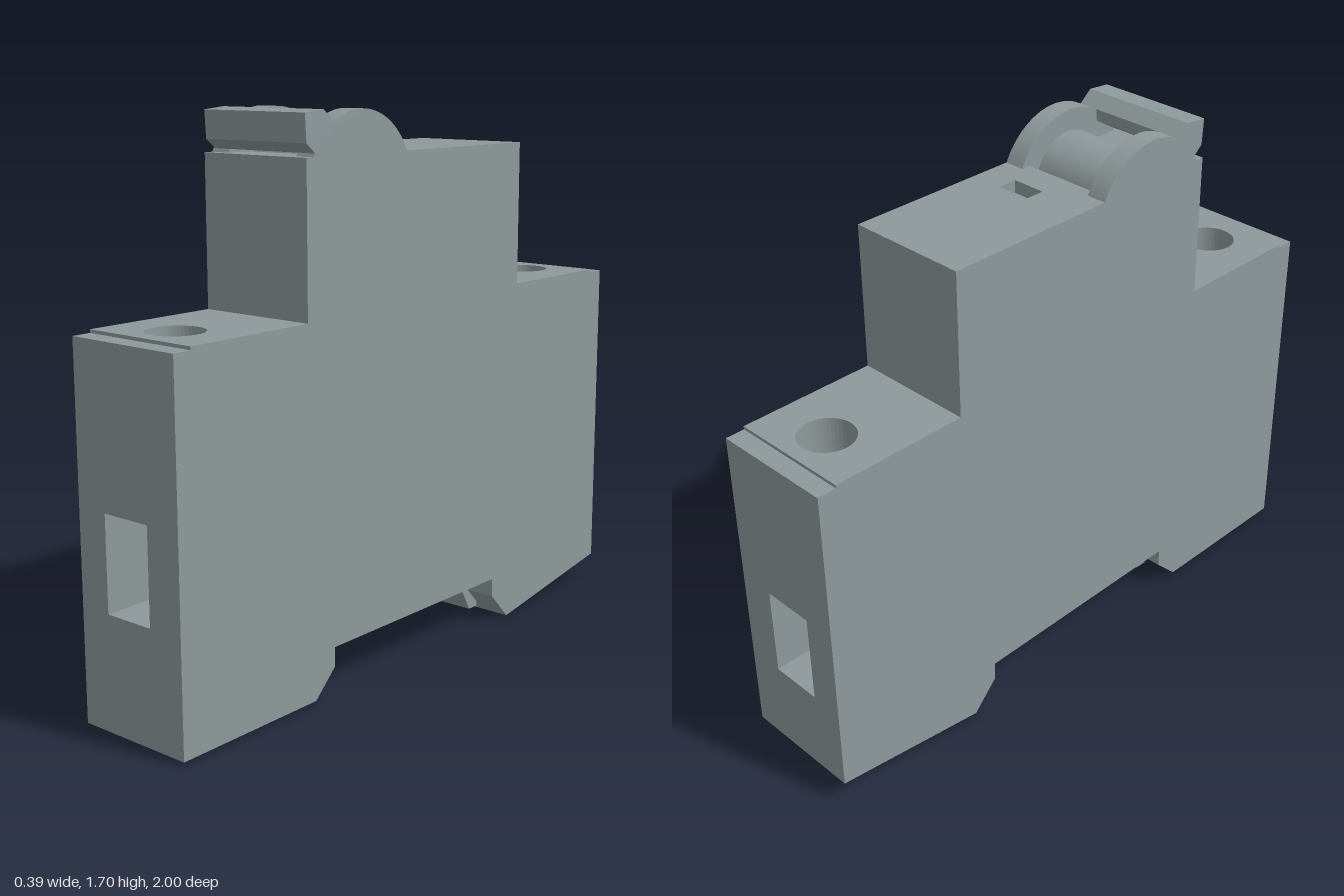
import * as THREE from 'three';

const HALF = 0.195; // half of the housing width

export function createModel() {
  const group = new THREE.Group();
  const grey = new THREE.MeshStandardMaterial({ color: 0x8e999b });
  grey.name = 'housing grey';

  const add = (name, geometry, parent = group) => {
    const mesh = new THREE.Mesh(geometry, grey);
    mesh.name = name;
    parent.add(mesh);
    return mesh;
  };
  // Side outline given as [z, y] pairs, extruded across the width from x0 to x1
  const sideShape = (pts) => new THREE.Shape(pts.map(([z, y]) => new THREE.Vector2(-z, y)));
  const across = (shape, x0, x1) =>
    new THREE.ExtrudeGeometry(shape, { depth: x1 - x0, bevelEnabled: false, curveSegments: 40 })
      .rotateY(Math.PI / 2).translate(x0, 0, 0);

  const rect = (x0, x1, v0, v1) =>
    [[x0, v0], [x1, v0], [x1, v1], [x0, v1]].map((p) => new THREE.Vector2(...p));
  const circle = (v, r) => Array.from({ length: 48 }, (_, i) => {
    const a = (i / 48) * Math.PI * 2;
    return new THREE.Vector2(r * Math.cos(a), v + r * Math.sin(a));
  });

  // Inner walls of a recess below the counter-clockwise outline pts
  const recessWalls = (pts, depth) => {
    const pos = [];
    pts.forEach((a, i) => {
      const b = pts[(i + 1) % pts.length];
      pos.push(a.x, a.y, 0, b.x, b.y, 0, b.x, b.y, -depth);
      pos.push(a.x, a.y, 0, b.x, b.y, -depth, a.x, a.y, -depth);
    });
    const g = new THREE.BufferGeometry();
    g.setAttribute('position', new THREE.Float32BufferAttribute(pos, 3));
    g.computeVertexNormals();
    return g;
  };

  // Housing outline as [z, y]
  const outline = [
    [1, 0.01], [1, 1.11], [0.94, 1.11], [0.94, 1.12], [0.5, 1.12], [0.5, 1.57],
    [-0.5, 1.57], [-0.5, 1.12], [-0.94, 1.12], [-0.94, 1.11], [-1, 1.11], [-1, 0.085],
    [-0.475, 0], [-0.39, 0.09], [-0.39, 0.15], [0.395, 0.15], [0.395, 0.09], [0.478, 0.01],
  ];

  // Recesses by wall index; v runs along the wall from its first point
  const recesses = {
    0: [['wireOpening', rect(-0.09, 0.077, 0.345, 0.63), 0.4]],
    3: [['screwHole', circle(0.13, 0.084), 0.42]],
    5: [['toggleWell', rect(-0.13, 0.13, 0.11, 0.4), 0.07],
      ['indicatorSlot', rect(-0.02, 0.09, 0.5, 0.565), 0.04]],
    7: [['screwHole', circle(0.31, 0.084), 0.42]],
    10: [['wireOpening', rect(-0.09, 0.077, 0.47, 0.755), 0.4]],
  };
  // The step between the top and the lip is wall 2, so wall 3 starts at z = 0.94

  const housing = new THREE.Group();
  housing.name = 'housing';
  group.add(housing);

  // Flat sides
  add('leftSide', new THREE.ShapeGeometry(sideShape(outline))
    .rotateY(Math.PI / 2).translate(HALF, 0, 0), housing);
  add('rightSide', new THREE.ShapeGeometry(sideShape(outline.map(([z, y]) => [-z, y])))
    .rotateY(-Math.PI / 2).translate(-HALF, 0, 0), housing);

  // Walls around the outline, with their recesses
  outline.forEach(([z, y], i) => {
    const [z2, y2] = outline[(i + 1) % outline.length];
    const along = new THREE.Vector3(0, y2 - y, z2 - z);
    const length = along.length();
    along.normalize();
    const xAxis = new THREE.Vector3(1, 0, 0);
    const place = new THREE.Matrix4()
      .makeBasis(xAxis, along, new THREE.Vector3().crossVectors(xAxis, along))
      .setPosition(0, y, z);
    const panel = new THREE.Shape(rect(-HALF, HALF, 0, length));
    for (const [name, pts, depth] of recesses[i] ?? []) {
      panel.holes.push(new THREE.Path(pts));
      add(name + 'Walls', recessWalls(pts, depth).applyMatrix4(place), housing);
      add(name + 'Floor', new THREE.ShapeGeometry(new THREE.Shape(pts))
        .translate(0, 0, -depth).applyMatrix4(place), housing);
    }
    add('wall', new THREE.ShapeGeometry(panel).applyMatrix4(place), housing);
  });

  // Rail clips under the housing, mirrored front to back
  const clip = [[0.347, 0.15], [0.347, 0.115], [0.4, 0.02], [0.442, 0.02],
    [0.442, 0.05], [0.397, 0.092], [0.397, 0.15]];
  add('frontRailClip', across(sideShape(clip), -0.095, 0.095));
  add('backRailClip', across(sideShape(clip.map(([z, y]) => [-z, y])), -0.095, 0.095));

  // Toggle: two round cheeks, a drum between them and a grip bar
  const toggle = new THREE.Group();
  toggle.name = 'toggle';
  group.add(toggle);
  const cheek = new THREE.Shape();
  cheek.absarc(-0.27, 1.4725, 0.2225, 0.4534, Math.PI - 0.4534, false);
  add('leftCheek', across(cheek, 0.13, HALF), toggle);
  add('rightCheek', across(cheek, -HALF, -0.13), toggle);
  add('drum', new THREE.CylinderGeometry(0.13, 0.13, 0.26, 48, 1, true)
    .rotateZ(Math.PI / 2).translate(0, 1.5, 0.26), toggle);
  const grip = [[0.387, 1.662], [0.43, 1.697], [0.505, 1.69], [0.5, 1.608],
    [0.465, 1.58], [0.39, 1.625]];
  add('gripBar', across(sideShape(grip), -0.188, HALF), toggle);

  return group;
}
